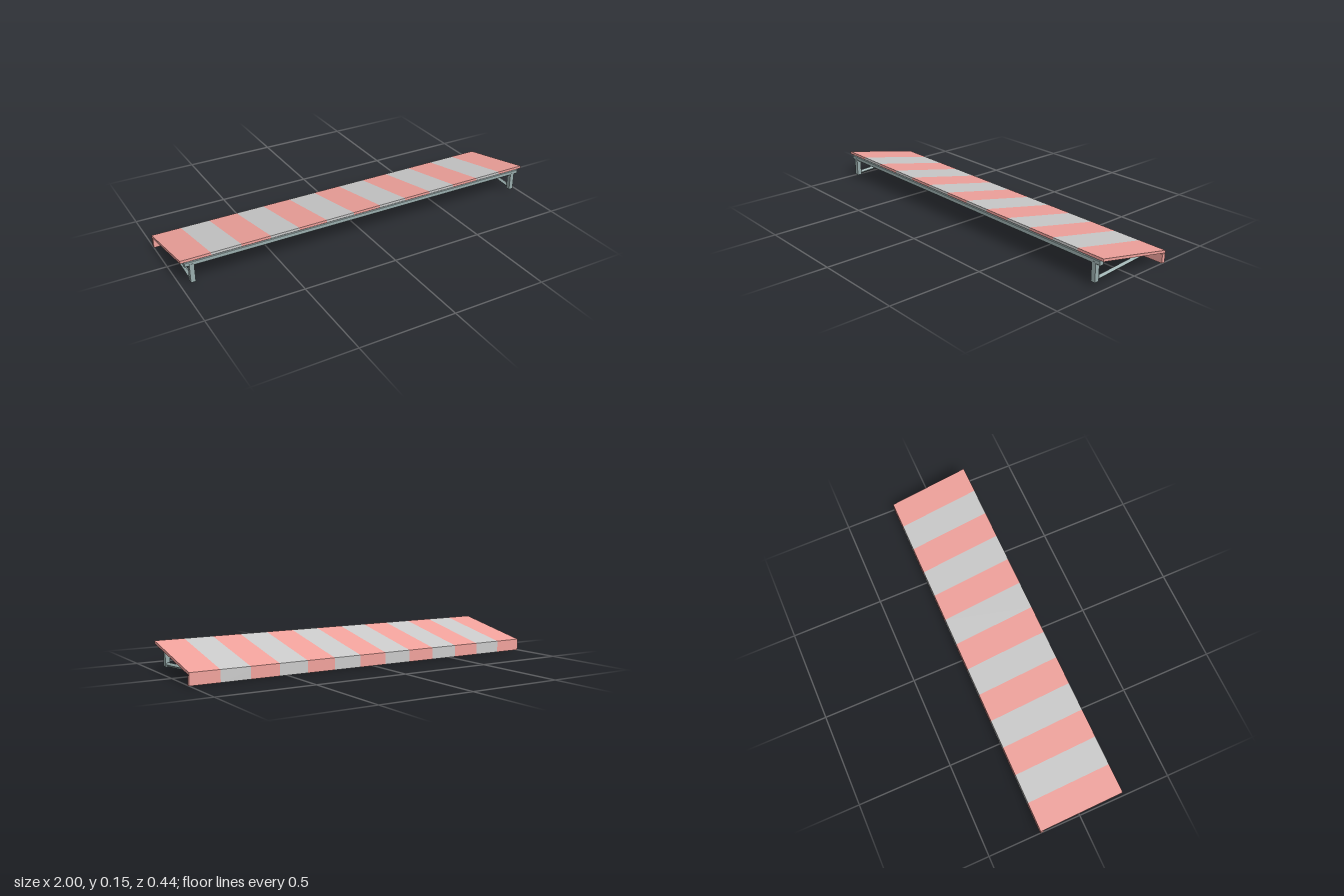
import * as THREE from 'three';

const RED = new THREE.MeshStandardMaterial({ color: 0xf2a39d });
const GREY = new THREE.MeshStandardMaterial({ color: 0xcccccc });
const STEEL = new THREE.MeshStandardMaterial({ color: 0x9aaeae, flatShading: true });

// Extrudes a [z, y] side profile along x, from x0 to x1
function sideExtrude(points, x0, x1) {
  const shape = new THREE.Shape(points.map(([z, y]) => new THREE.Vector2(-z, y)));
  const geo = new THREE.ExtrudeGeometry(shape, { depth: x1 - x0, bevelEnabled: false });
  return geo.rotateY(Math.PI / 2).translate(x0, 0, 0);
}

function addMesh(parent, name, geo, material) {
  const mesh = new THREE.Mesh(geo, material);
  mesh.name = name;
  parent.add(mesh);
  return mesh;
}

export function createModel() {
  const model = new THREE.Group();
  model.name = 'awning';

  // Sloping canopy and upright rear valance, in alternating stripes
  const canopy = new THREE.Group();
  canopy.name = 'canopy';
  const valance = new THREE.Group();
  valance.name = 'valance';
  model.add(canopy, valance);
  const roof = [[0.22, 0.14], [0.22, 0.154], [-0.22, 0.062], [-0.22, 0.048]];
  const flap = [[-0.2, 0], [-0.2, 0.046], [-0.22, 0.048], [-0.22, 0]];
  const count = 13, width = 2 / count;
  for (let i = 0; i < count; i++) {
    const x0 = -1 + i * width;
    const material = i % 2 ? GREY : RED;
    addMesh(canopy, 'canopyStripe', sideExtrude(roof, x0, x0 + width), material);
    addMesh(valance, 'valanceStripe', sideExtrude(flap, x0, x0 + width), material);
  }

  // Front rail: square tube with slightly chamfered edges
  const h = 0.012, k = 0.009;
  const rail = [[h, -k], [h, k], [k, h], [-k, h], [-h, k], [-h, -k], [-k, -h], [k, -h]]
    .map(([z, y]) => [z + 0.207, y + 0.124]);
  addMesh(model, 'frontRail', sideExtrude(rail, -0.98, 0.98), STEEL);

  // Support at each end: post with a diagonal brace running back to the canopy
  const start = new THREE.Vector3(0, 0.033, 0.207);
  const end = new THREE.Vector3(0, 0.058, -0.174);
  for (const side of [-1, 1]) {
    const support = new THREE.Group();
    support.name = side > 0 ? 'leftSupport' : 'rightSupport';
    support.position.x = side * 0.945;
    model.add(support);

    const post = addMesh(support, 'post', new THREE.BoxGeometry(0.024, 0.1, 0.025), STEEL);
    post.position.set(0, 0.072, 0.2075);

    // Four-sided bar set on edge
    const brace = addMesh(support, 'brace',
      new THREE.CylinderGeometry(0.011, 0.011, start.distanceTo(end), 4), STEEL);
    brace.position.copy(start).lerp(end, 0.5);
    brace.quaternion.setFromUnitVectors(new THREE.Vector3(0, 1, 0), end.clone().sub(start).normalize());
  }

  return model;
}
